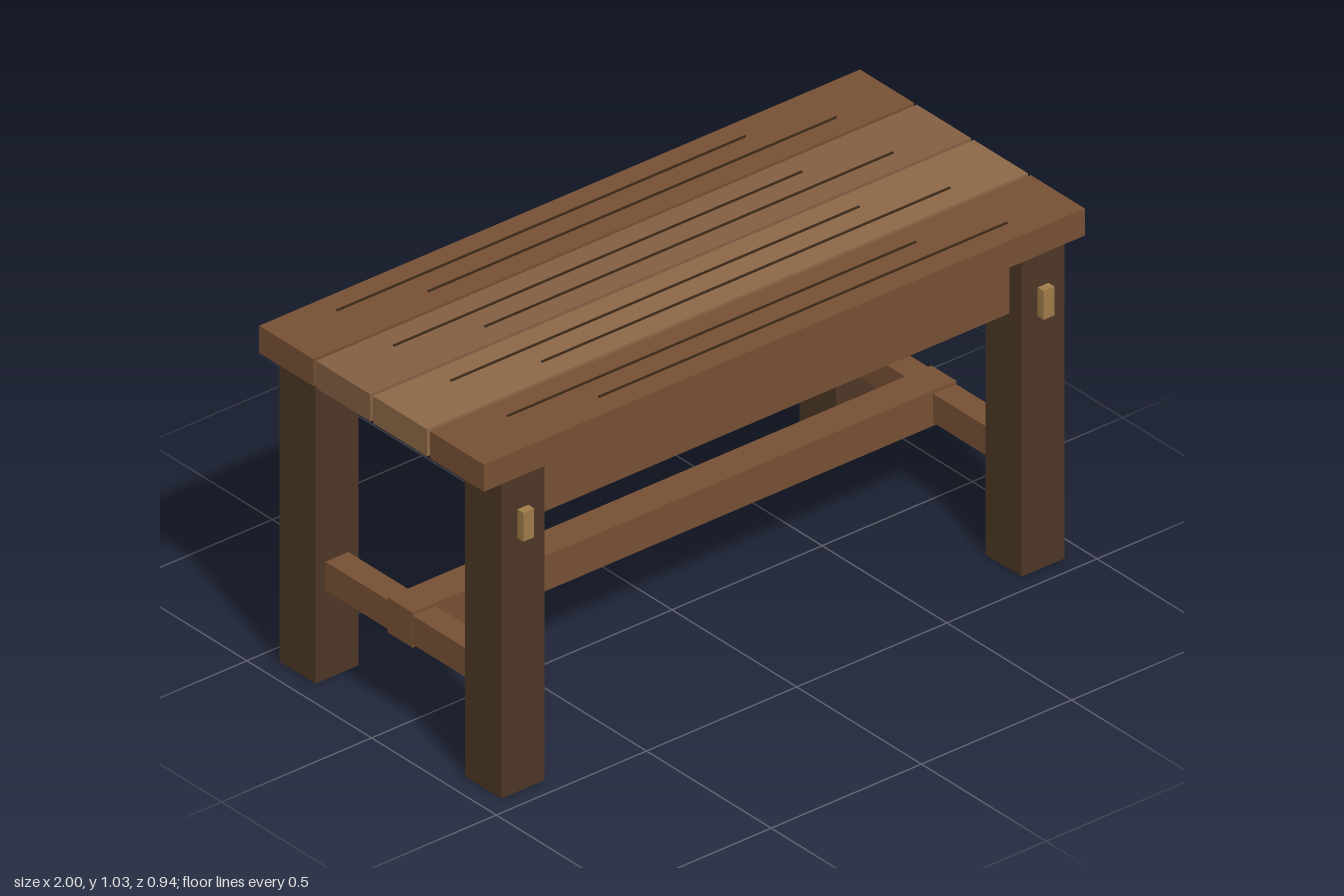
import * as THREE from 'three';

const mat = (color) => new THREE.MeshStandardMaterial({ color });
const wood = {
  leg: mat(0x4d3726), rail: mat(0x775034), peg: mat(0xa07c4a), groove: mat(0x3a2818),
};

export function createModel() {
  const group = new THREE.Group();

  // Box given by its size and centre
  const box = (name, material, size, centre) => {
    const mesh = new THREE.Mesh(new THREE.BoxGeometry(...size), material);
    mesh.name = name;
    mesh.position.set(...centre);
    group.add(mesh);
  };

  // Tabletop planks, each with two staggered grain grooves
  const plankColors = [0x775034, 0x845f42, 0x8d6846, 0x775034];
  plankColors.forEach((color, i) => {
    const z = (i - 1.5) * 0.228;
    box('plank', mat(color), [2, 0.081, 0.217], [0, 0.9825, z]);
    for (const s of [-1, 1]) {
      box('grainGroove', wood.groove, [1.36, 0.006, 0.006], [s * 0.12, 1.0235, z + s * 0.038]);
    }
  });

  // Legs with pegs showing on their outer faces
  for (const sx of [-1, 1]) {
    for (const sz of [-1, 1]) {
      box('leg', wood.leg, [0.143, 0.942, 0.145], [sx * 0.866, 0.471, sz * 0.3725]);
      box('peg', wood.peg, [0.036, 0.086, 0.046], [sx * 0.866, 0.8, sz * 0.446]);
    }
  }

  // Long aprons under the top, set back from the leg faces
  for (const sz of [-1, 1]) {
    box('apron', wood.rail, [1.6, 0.168, 0.046], [0, 0.847, sz * 0.3725]);
  }

  // End stretchers between each pair of legs
  for (const sx of [-1, 1]) {
    box('endStretcher', wood.rail, [0.076, 0.086, 0.61], [sx * 0.866, 0.308, 0]);
  }

  // Central stretcher joining the two ends
  box('centreStretcher', wood.rail, [1.81, 0.105, 0.1], [0, 0.308, 0]);

  return group;
}
